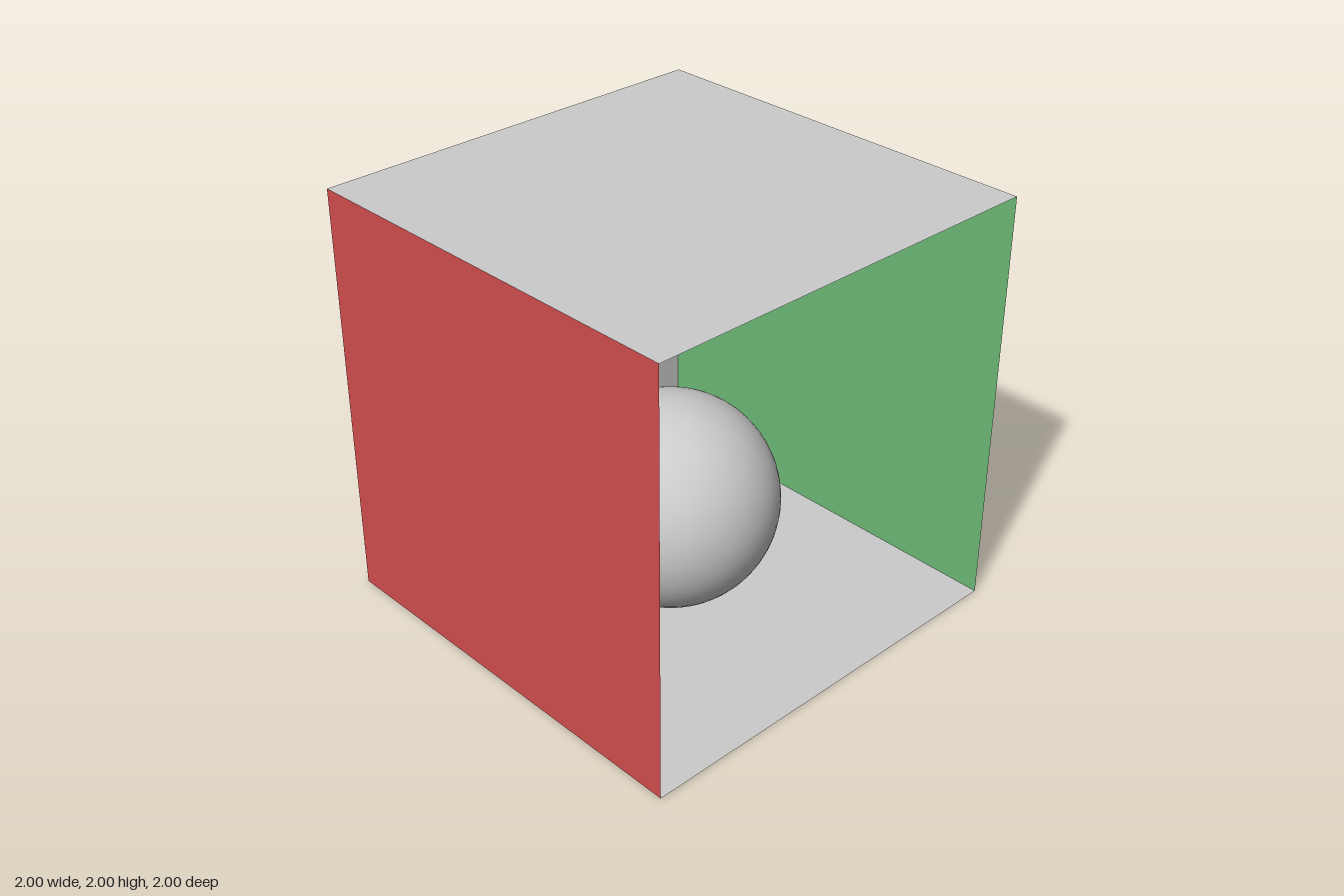
import * as THREE from 'three';

const SIZE = 2;
const HALF = SIZE / 2;

function createWall(name, color, position, rotation) {
  const material = new THREE.MeshStandardMaterial({ color, side: THREE.DoubleSide });
  const wall = new THREE.Mesh(new THREE.PlaneGeometry(SIZE, SIZE), material);
  wall.name = name;
  wall.position.set(...position);
  wall.rotation.set(...rotation);
  return wall;
}

export function createModel() {
  const group = new THREE.Group();
  group.name = 'openRoomWithBall';
  const grey = 0xcccccc;
  const quarter = Math.PI / 2;

  // Thin room panels facing inward, open at the front
  group.add(
    createWall('floor', grey, [0, 0, 0], [-quarter, 0, 0]),
    createWall('ceiling', grey, [0, SIZE, 0], [quarter, 0, 0]),
    createWall('backWall', grey, [0, HALF, -HALF], [0, 0, 0]),
    createWall('redWall', 0xd04c4c, [-HALF, HALF, 0], [0, quarter, 0]),
    createWall('greenWall', 0x6cb876, [HALF, HALF, 0], [0, -quarter, 0])
  );

  // Ball resting in the middle of the floor
  const radius = 0.5;
  const ball = new THREE.Mesh(
    new THREE.SphereGeometry(radius, 64, 32),
    new THREE.MeshStandardMaterial({ color: grey })
  );
  ball.name = 'ball';
  ball.position.y = radius;
  group.add(ball);

  return group;
}
